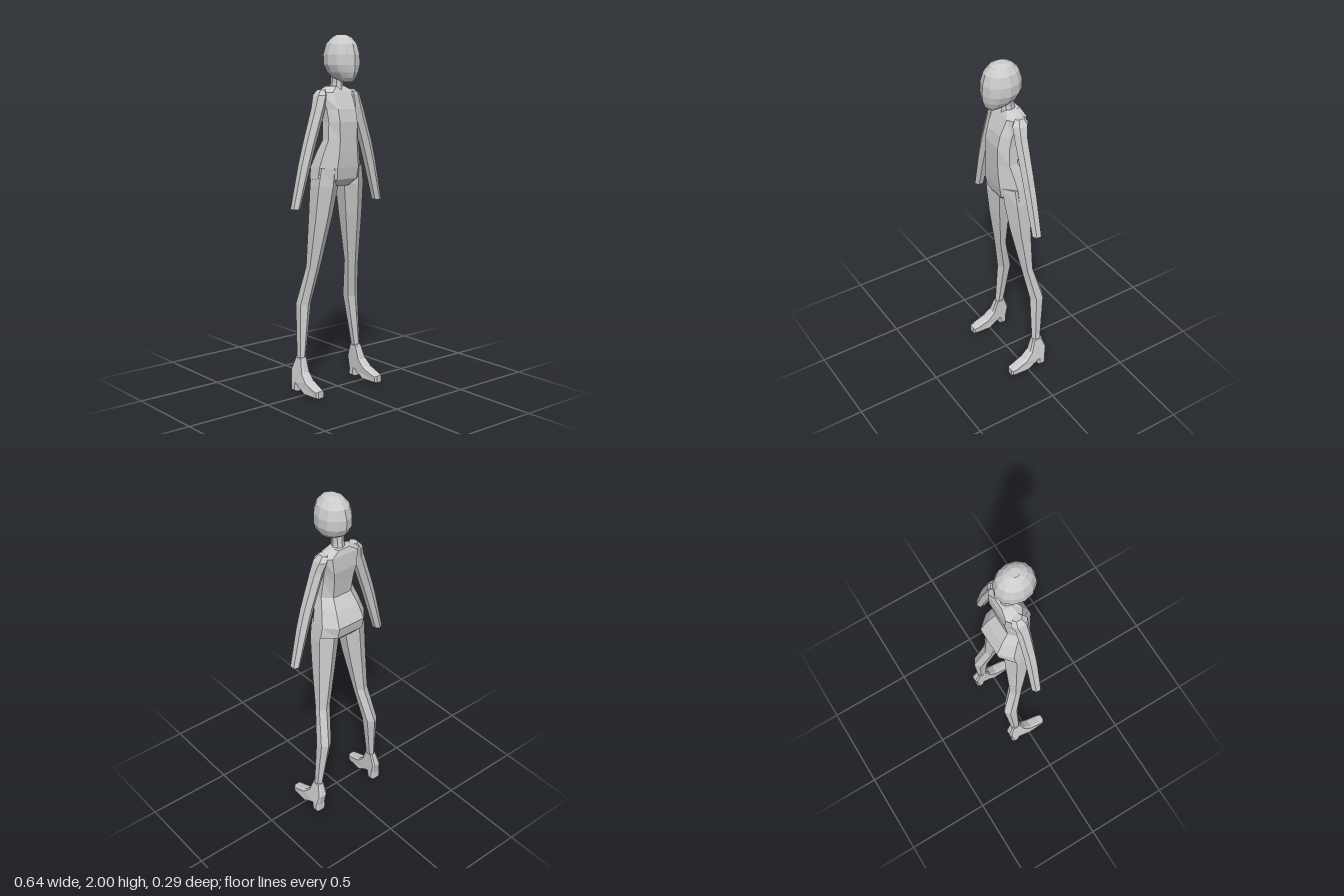
import * as THREE from 'three';

const material = new THREE.MeshStandardMaterial({ color: 0xcccccc, flatShading: true });

// Skin a stack of closed rings, listed from top to bottom, and cap both ends
function loft(name, rings) {
  const n = rings[0].length;
  const pos = [];
  const tri = (a, b, c) => pos.push(...a, ...b, ...c);
  for (let i = 0; i < rings.length - 1; i++) {
    const up = rings[i], low = rings[i + 1];
    for (let j = 0; j < n; j++) {
      const k = (j + 1) % n;
      tri(low[j], low[k], up[j]);
      tri(low[k], up[k], up[j]);
    }
  }
  const middle = (r) => [0, 1, 2].map((c) => r.reduce((s, p) => s + p[c], 0) / n);
  const top = rings[0], bottom = rings[rings.length - 1];
  const mt = middle(top), mb = middle(bottom);
  for (let j = 0; j < n; j++) {
    const k = (j + 1) % n;
    tri(top[j], top[k], mt);
    tri(bottom[k], bottom[j], mb);
  }
  const g = new THREE.BufferGeometry();
  g.setAttribute('position', new THREE.Float32BufferAttribute(pos, 3));
  g.computeVertexNormals();
  const mesh = new THREE.Mesh(g, material);
  mesh.name = name;
  return mesh;
}

// Level n-sided ring spanning x0..x1 and z0..z1
function ring(n, y, x0, x1, z0, z1) {
  const fit = n % 4 ? Math.cos(Math.PI / n) : 1;
  return Array.from({ length: n }, (_, i) => {
    const a = (i / n) * Math.PI * 2;
    return [
      (x0 + x1) / 2 + (Math.sin(a) * (x1 - x0)) / 2 / fit,
      y,
      (z0 + z1) / 2 + (Math.cos(a) * (z1 - z0)) / 2,
    ];
  });
}

// Limb from rows of y, inner x, outer x, back z, front z
function limb(name, side, rows) {
  return loft(name, rows.map(([y, a, b, z0, z1]) =>
    ring(6, y, Math.min(a * side, b * side), Math.max(a * side, b * side), z0, z1)));
}

// Torso ring with a flat front and back panel and chamfered flanks
function torsoRing([y, w, front, back, fw, bw]) {
  const d = front - back;
  const half = [[fw, front], [w, front - d * 0.32], [w, back + d * 0.32], [bw, back]];
  return [
    [0, y, front],
    ...half.map(([x, z]) => [x, y, z]),
    [0, y, back],
    ...half.slice().reverse().map(([x, z]) => [-x, y, z]),
  ];
}

// Heeled shoe: side profile extruded, then narrowed towards the ankle
function shoe(name, side) {
  const profile = [
    [0.115, 0.005], [0.115, 0.045], [0.08, 0.055], [0.015, 0.08], [-0.025, 0.12],
    [-0.05, 0.2], [-0.108, 0.2], [-0.134, 0.12], [-0.12, 0.05], [-0.12, 0],
    [-0.077, 0], [-0.073, 0.045], [-0.04, 0.028], [0, 0], [0.1, 0],
  ].map(([z, y]) => new THREE.Vector2(z, y));
  const g = new THREE.ExtrudeGeometry(new THREE.Shape(profile), {
    depth: 1.2, bevelEnabled: true, bevelSegments: 1,
    bevelThickness: 0.4, bevelSize: 0.008, bevelOffset: -0.008,
  });
  g.translate(0, 0, -0.6);
  g.rotateY(-Math.PI / 2);
  const p = g.attributes.position;
  for (let i = 0; i < p.count; i++) {
    const y = p.getY(i), z = p.getZ(i);
    const t = THREE.MathUtils.clamp((y - 0.05) / 0.15, 0, 1);
    const toe = THREE.MathUtils.smoothstep(z, 0.04, 0.115);
    const halfWidth = THREE.MathUtils.lerp(0.034, 0.02, t) * (1 - 0.2 * toe);
    p.setX(i, side * THREE.MathUtils.lerp(0.217, 0.203, t) + p.getX(i) * halfWidth);
  }
  g.computeVertexNormals();
  const mesh = new THREE.Mesh(g, material);
  mesh.name = name;
  return mesh;
}

export function createModel() {
  const model = new THREE.Group();
  model.name = 'figure';

  // Head: y, half width, back z, front z
  model.add(loft('head', [
    [2.0, 0.025, 0.0, 0.065],
    [1.985, 0.052, -0.03, 0.098],
    [1.95, 0.08, -0.064, 0.128],
    [1.895, 0.095, -0.08, 0.144],
    [1.84, 0.094, -0.08, 0.147],
    [1.8, 0.078, -0.06, 0.143],
    [1.77, 0.055, -0.02, 0.132],
    [1.748, 0.03, 0.045, 0.115],
  ].map(([y, w, z0, z1]) => ring(12, y, -w, w, z0, z1))));

  // Neck
  model.add(loft('neck', [
    ring(8, 1.81, -0.032, 0.032, -0.04, 0.035),
    ring(8, 1.74, -0.032, 0.032, -0.045, 0.028),
    ring(8, 1.69, -0.04, 0.04, -0.055, 0.035),
  ]));

  // Torso: y, half width, front z, back z, front panel, back panel
  model.add(loft('torso', [
    [1.722, 0.045, 0.02, -0.06, 0.03, 0.035],
    [1.69, 0.125, 0.04, -0.07, 0.065, 0.085],
    [1.6, 0.102, 0.08, -0.072, 0.062, 0.075],
    [1.53, 0.1, 0.095, -0.06, 0.062, 0.065],
    [1.43, 0.108, 0.095, -0.046, 0.06, 0.06],
    [1.36, 0.128, 0.094, -0.09, 0.065, 0.075],
    [1.28, 0.147, 0.09, -0.127, 0.075, 0.085],
    [1.215, 0.156, 0.08, -0.115, 0.07, 0.085],
    [1.175, 0.09, 0.055, -0.08, 0.03, 0.045],
  ].map(torsoRing)));

  for (const [label, side] of [['left', 1], ['right', -1]]) {
    // Arm
    model.add(limb(label + 'Arm', side, [
      [1.705, 0.085, 0.12, -0.045, 0.015],
      [1.675, 0.085, 0.147, -0.06, 0.038],
      [1.61, 0.1, 0.168, -0.042, 0.037],
      [1.405, 0.17, 0.236, -0.035, 0.035],
      [1.3, 0.203, 0.265, -0.035, 0.033],
      [1.065, 0.272, 0.318, -0.033, 0.024],
    ]));
    // Leg
    model.add(limb(label + 'Leg', side, [
      [1.28, 0.03, 0.145, -0.09, 0.08],
      [1.18, 0.022, 0.16, -0.087, 0.072],
      [1.0, 0.05, 0.167, -0.084, 0.045],
      [0.72, 0.102, 0.178, -0.08, -0.01],
      [0.5, 0.138, 0.21, -0.14, -0.05],
      [0.195, 0.183, 0.222, -0.108, -0.05],
    ]));
    model.add(shoe(label + 'Shoe', side));
  }
  return model;
}
